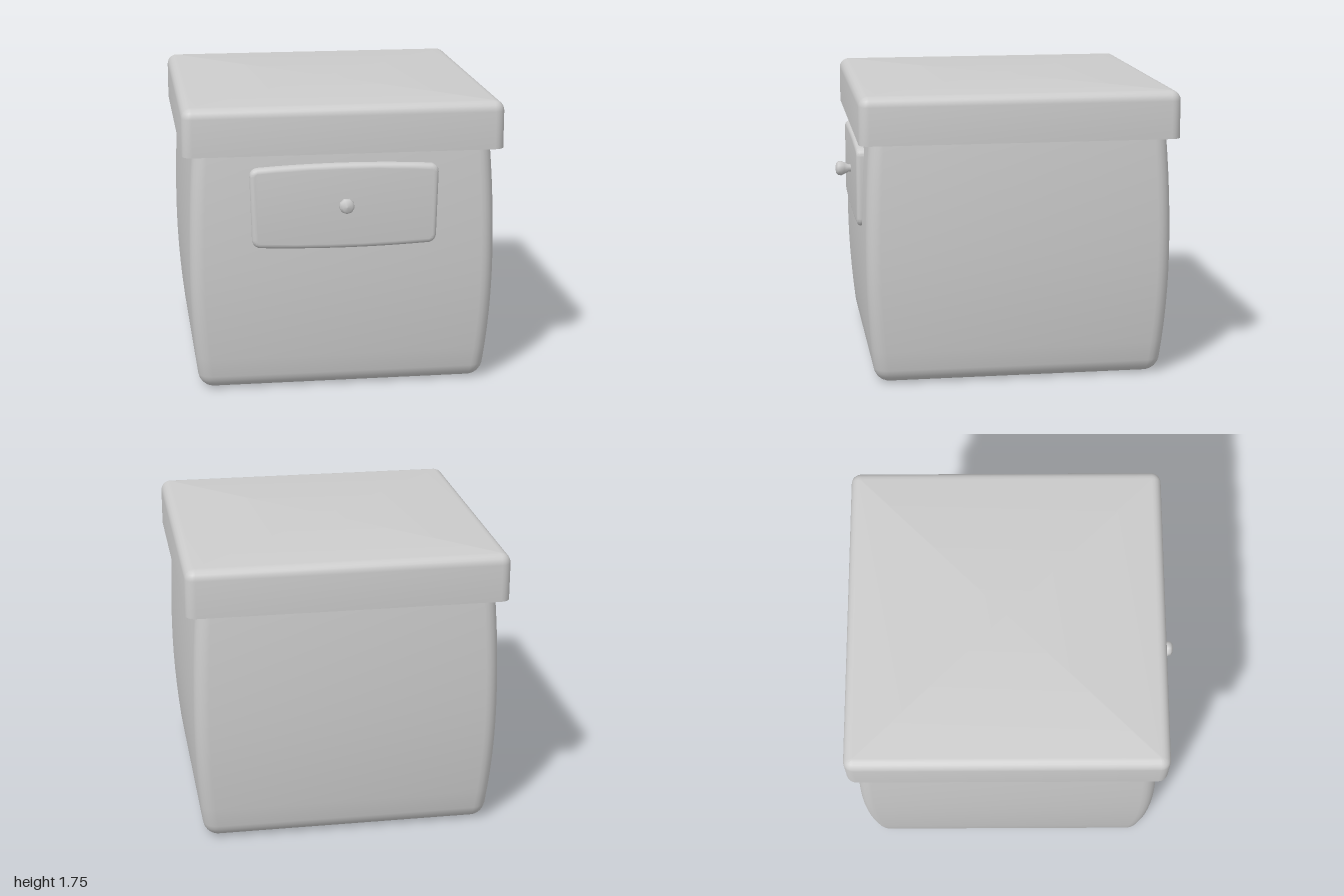
import * as THREE from 'three';
import { toCreasedNormals } from 'three/addons/utils/BufferGeometryUtils.js';

const CENTER_Z = -0.045;
const material = new THREE.MeshStandardMaterial({ color: 0xcccccc });

// Rounded-square ring at height y: half = half width, r = corner radius
function ring(half, y, r, steps = 5) {
  const pts = [];
  for (let c = 0; c < 4; c++) {
    const mid = Math.PI / 4 + (c * Math.PI) / 2;
    const cx = Math.sign(Math.cos(mid)) * (half - r);
    const cz = Math.sign(Math.sin(mid)) * (half - r);
    for (let i = 0; i <= steps; i++) {
      const a = (c + i / steps) * Math.PI / 2;
      pts.push([cx + r * Math.cos(a), y, cz + r * Math.sin(a)]);
    }
  }
  return pts;
}

// Capped solid through rings listed from bottom to top
function loft(rings) {
  const n = rings[0].length;
  const index = [];
  for (let i = 0; i < rings.length - 1; i++) {
    for (let j = 0; j < n; j++) {
      const a = i * n + j, b = i * n + (j + 1) % n;
      index.push(a, a + n, b, b, a + n, b + n);
    }
  }
  const last = rings.length - 1, bottom = rings.length * n, top = bottom + 1;
  for (let j = 0; j < n; j++) {
    const k = (j + 1) % n;
    index.push(bottom, j, k, top, last * n + k, last * n + j);
  }
  const points = [...rings.flat(), [0, rings[0][0][1], 0], [0, rings[last][0][1], 0]];
  const geometry = new THREE.BufferGeometry();
  geometry.setAttribute('position', new THREE.Float32BufferAttribute(points.flat(), 3));
  geometry.setIndex(index);
  return toCreasedNormals(geometry, 0.7);
}

function add(group, name, geometry, x, y, z) {
  const mesh = new THREE.Mesh(geometry, material);
  mesh.name = name;
  mesh.position.set(x, y, z);
  group.add(mesh);
  return mesh;
}

// Bulging body with a rounded bottom edge
function bodyGeometry() {
  const width = (y) => 0.92 - 0.072 * Math.pow((y - 0.77) / 0.77, 2) * (y < 0.77 ? 0.72 : 0.46);
  const rings = [];
  const r = 0.085;
  for (let i = 0; i <= 5; i++) {
    const a = (i / 5) * Math.PI / 2;
    const inset = r * (1 - Math.sin(a));
    const y = r * (1 - Math.cos(a));
    rings.push(ring(width(y) - inset, y, Math.max(0.005, r - inset)));
  }
  for (let i = 1; i <= 12; i++) {
    const y = r + (i / 12) * (1.48 - r);
    rings.push(ring(width(y), y, r));
  }
  return loft(rings);
}

// Lid with a sharp lower rim and a rounded top edge
function lidGeometry() {
  const half = 0.955, r = 0.06;
  const rings = [ring(half, 1.465, r)];
  for (let i = 0; i <= 5; i++) {
    const a = (i / 5) * Math.PI / 2;
    const inset = r * (1 - Math.cos(a));
    rings.push(ring(half - inset, 1.75 - r + r * Math.sin(a), Math.max(0.005, r - inset)));
  }
  return loft(rings);
}

// Drawer front with slightly bowed top and bottom edges
function drawerGeometry() {
  const b = 0.028;
  const s = new THREE.Shape();
  s.moveTo(-0.505, 0.9 + b);
  s.quadraticCurveTo(0, 0.872 + b, 0.505, 0.9 + b);
  s.quadraticCurveTo(0.523, 0.905 + b, 0.525, 0.925 + b);
  s.lineTo(0.535, 1.362 - b);
  s.quadraticCurveTo(0.535, 1.382 - b, 0.51, 1.384 - b);
  s.quadraticCurveTo(0, 1.416 - b, -0.51, 1.384 - b);
  s.quadraticCurveTo(-0.535, 1.382 - b, -0.535, 1.362 - b);
  s.lineTo(-0.525, 0.925 + b);
  s.quadraticCurveTo(-0.523, 0.905 + b, -0.505, 0.9 + b);
  const geometry = new THREE.ExtrudeGeometry(s, {
    depth: 0.06, bevelEnabled: true, bevelThickness: b, bevelSize: b,
    bevelSegments: 4, curveSegments: 10,
  });
  return toCreasedNormals(geometry, 0.7);
}

// Faceted round knob, narrow at the base
function knobGeometry() {
  const profile = [[0.022, -0.02], [0.024, 0.015], [0.038, 0.042], [0.047, 0.062],
    [0.044, 0.08], [0.03, 0.093], [0, 0.098]];
  const geometry = new THREE.LatheGeometry(profile.map(([r, y]) => new THREE.Vector2(r, y)), 9);
  return geometry.rotateX(Math.PI / 2);
}

export function createModel() {
  const group = new THREE.Group();
  group.name = 'lidded box';
  add(group, 'body', bodyGeometry(), 0, 0, CENTER_Z);
  add(group, 'lid', lidGeometry(), 0, 0, CENTER_Z);
  add(group, 'drawerFront', drawerGeometry(), 0, 0, 0.815);
  add(group, 'knob', knobGeometry(), 0, 1.163, 0.902);
  return group;
}
